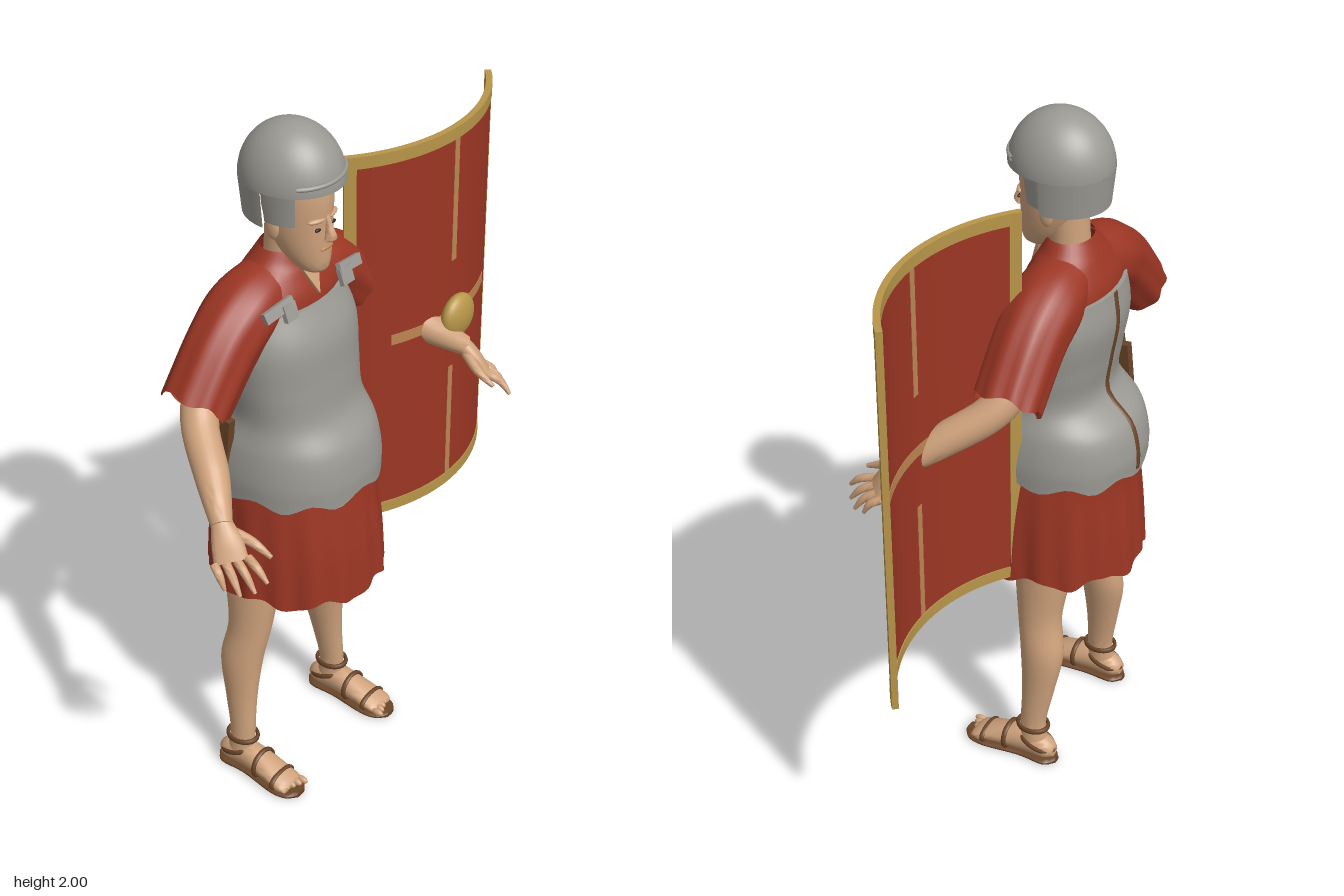
import * as THREE from 'three';
import { toCreasedNormals } from 'three/addons/utils/BufferGeometryUtils.js';

const CX = -0.133; // body centre line
const UP = [0, 1, 0];

function material(name, color, side = THREE.DoubleSide) {
  const m = new THREE.MeshStandardMaterial({ color, side });
  m.name = name;
  return m;
}

// Loft through sections [x, y, z, halfWidthA, halfWidthB].
// axis fixes the ring normal, ref orients half width B, mod returns [scale, slide along axis].
function sweep(points, { seg = 24, steps = 20, ref = [0, 0, 1], axis = null, cap = true, pow = 1, mod = null } = {}) {
  const path = new THREE.CatmullRomCurve3(points.map(p => new THREE.Vector3(p[0], p[1], p[2])), false, 'catmullrom');
  const size = new THREE.CatmullRomCurve3(points.map(p => new THREE.Vector3(p[3], p[4] ?? p[3], 0)), false, 'catmullrom');
  const refV = new THREE.Vector3(...ref), pos = [], idx = [];
  const sup = c => Math.sign(c) * Math.abs(c) ** pow;
  for (let i = 0; i <= steps; i++) {
    const u = i / steps, c = path.getPoint(u), s = size.getPoint(u);
    const t = axis ? new THREE.Vector3(...axis) : path.getTangent(u);
    const side = new THREE.Vector3().crossVectors(refV, t).normalize();
    const other = new THREE.Vector3().crossVectors(t, side);
    for (let j = 0; j < seg; j++) {
      const a = j / seg * Math.PI * 2, [k, slide] = mod ? mod(a, u) : [1, 0];
      const p = c.clone().addScaledVector(side, sup(Math.cos(a)) * s.x * k)
        .addScaledVector(other, sup(Math.sin(a)) * s.y * k).addScaledVector(t, slide);
      pos.push(p.x, p.y, p.z);
      if (i < steps) {
        const A = i * seg + j, B = i * seg + (j + 1) % seg;
        idx.push(A, B, A + seg, B, B + seg, A + seg);
      }
    }
  }
  if (cap) {
    const n = pos.length / 3, last = steps * seg;
    pos.push(...path.getPoint(0).toArray(), ...path.getPoint(1).toArray());
    for (let j = 0; j < seg; j++) {
      const k = (j + 1) % seg;
      idx.push(n, k, j, n + 1, last + j, last + k);
    }
  }
  const g = new THREE.BufferGeometry();
  g.setAttribute('position', new THREE.Float32BufferAttribute(pos, 3));
  g.setIndex(idx);
  g.computeVertexNormals();
  return cap ? toCreasedNormals(g, 1) : g;
}

export function createModel() {
  const root = new THREE.Group();
  const red = material('red cloth', 0x9c3624), steel = material('steel', 0x9b9993);
  const skin = material('skin', 0xcfa27c), gold = material('brass', 0xb8964a);
  const tan = material('tan stripe', 0xbd8552), brown = material('leather', 0x6a4528);
  const dark = material('dark eye', 0x2e2019);

  function add(name, geo, mat, p = [0, 0, 0], s = [1, 1, 1], r = [0, 0, 0]) {
    const m = new THREE.Mesh(geo, mat);
    m.name = name;
    m.position.set(...p);
    m.scale.set(...s);
    m.rotation.set(...r);
    root.add(m);
    return m;
  }
  const ball = new THREE.SphereGeometry(1, 20, 14);

  // Torso: tunic, breastplate and pleated skirt
  add('tunic', sweep([
    [CX, 1.3, -0.07, 0.17, 0.1], [CX, 1.45, -0.075, 0.19, 0.115], [CX, 1.53, -0.075, 0.19, 0.115],
    [CX, 1.59, -0.075, 0.145, 0.09], [CX, 1.62, -0.075, 0.1, 0.075], [CX, 1.655, -0.07, 0.07, 0.06]],
  { axis: UP, seg: 32, cap: false }), red);
  add('breastplate', sweep([
    [CX, 0.975, -0.05, 0.226, 0.236], [CX, 1.04, -0.05, 0.226, 0.235], [CX, 1.12, -0.047, 0.213, 0.215],
    [CX, 1.2, -0.035, 0.19, 0.155], [CX, 1.3, -0.045, 0.195, 0.15], [CX, 1.42, -0.06, 0.2, 0.153], [CX, 1.515, -0.075, 0.175, 0.128]],
  { axis: UP, seg: 64, steps: 40, pow: 0.9, mod: (a, u) => [1, 0.012 * Math.sin(a * 9) * Math.max(0, 1 - u * 6)] }), steel);
  add('skirt', sweep([
    [CX, 0.655, -0.042, 0.238, 0.247], [CX, 0.8, -0.042, 0.232, 0.238], [CX, 0.92, -0.045, 0.222, 0.225], [CX, 1.0, -0.05, 0.212, 0.22]],
  { axis: UP, seg: 128, cap: false, mod: (a, u) => {
    const k = 1 - u;
    return [1 + k * (0.022 * Math.sin(a * 17) + 0.01 * Math.sin(a * 7 + 1)), k * k * 0.013 * Math.sin(a * 8)];
  } }), red);
  add('backSeam', sweep([[0.98, -0.286], [1.04, -0.285], [1.12, -0.262], [1.2, -0.19], [1.3, -0.195], [1.42, -0.213], [1.515, -0.203]]
    .map(([y, z]) => [CX, y, z, 0.009, 0.004]), { seg: 8, axis: UP }), brown);

  // Sword scabbard on the right hip
  add('scabbard', new THREE.BoxGeometry(0.025, 0.22, 0.065), brown, [-0.348, 1.1, -0.12], undefined, [0.1, 0, 0]);
  add('swordGrip', new THREE.CylinderGeometry(0.013, 0.015, 0.1, 12), brown, [-0.355, 1.25, -0.105], undefined, [0.1, 0, 0]);

  // Neck, open collar and head
  add('neck', sweep([[CX, 1.52, -0.075, 0.07, 0.06], [CX, 1.62, -0.07, 0.056, 0.052], [CX, 1.74, -0.06, 0.054, 0.055]], { axis: UP }), skin);
  const vee = new THREE.Shape([[-0.05, 0], [0, -0.125], [0.05, 0]].map(p => new THREE.Vector2(...p)));
  add('openCollar', new THREE.ExtrudeGeometry(vee, { depth: 0.008, bevelEnabled: false }), skin, [CX, 1.65, -0.008], undefined, [-0.4, 0, 0]);
  add('head', sweep([
    [CX, 1.603, 0.025, 0.02, 0.025], [CX, 1.62, 0.018, 0.042, 0.05], [CX, 1.67, -0.005, 0.064, 0.077],
    [CX, 1.74, -0.022, 0.077, 0.095], [CX, 1.82, -0.025, 0.08, 0.1], [CX, 1.9, -0.03, 0.076, 0.092]],
  { axis: UP, seg: 32 }), skin);
  add('nose', sweep([[CX, 1.705, 0.076, 0.019, 0.013], [CX, 1.715, 0.082, 0.015, 0.017], [CX, 1.745, 0.075, 0.009, 0.012], [CX, 1.775, 0.066, 0.009, 0.009]],
    { axis: UP, seg: 14 }), skin);
  add('mouth', ball, tan, [CX, 1.68, 0.069], [0.024, 0.006, 0.006]);

  // Helmet
  add('helmetBowl', new THREE.SphereGeometry(1, 40, 20, 0, Math.PI * 2, 0, Math.PI / 2), steel, [CX, 1.85, -0.04], [0.127, 0.15, 0.143]);
  add('helmetRim', new THREE.CircleGeometry(1, 40), steel, [CX, 1.85, -0.04], [0.127, 0.143, 1], [Math.PI / 2, 0, 0]);
  add('neckGuard', new THREE.CylinderGeometry(1, 0.93, 0.1, 32, 3, true, Math.PI / 2, Math.PI), steel, [CX, 1.8, -0.04], [0.127, 1, 0.143]);
  add('browBand', new THREE.TorusGeometry(0.13, 0.006, 8, 32, 1.7), steel, [CX, 1.88, -0.035], [1, 1.07, 1], [Math.PI / 2, 0, Math.PI / 2 - 0.85]);

  // Paired parts, s = -1 for the right and +1 for the left
  for (const s of [-1, 1]) {
    const X = d => CX + s * d;
    const at = pts => pts.map(([d, ...rest]) => [X(d), ...rest]);

    // Face sides
    add('eye', ball, dark, [X(0.03), 1.74, 0.065], [0.011, 0.005, 0.005]);
    add('brow', ball, skin, [X(0.032), 1.765, 0.062], [0.026, 0.007, 0.01], [0, s * 0.35, 0]);
    add('ear', ball, skin, [X(0.08), 1.735, -0.04], [0.01, 0.034, 0.02]);
    add('cheekGuard', new THREE.CylinderGeometry(0.104, 0.092, 0.1, 10, 1, true, s > 0 ? 0.85 : -1.75, 0.9), steel, [CX, 1.8, -0.04], [1, 1, 1.05]);

    // Shoulder plate
    add('shoulderPlate', new THREE.BoxGeometry(0.1, 0.03, 0.014), steel, [X(0.145), 1.55, 0.028], undefined, [-0.4, s * 0.15, -s * 0.1]);
    add('shoulderStrap', new THREE.BoxGeometry(0.045, 0.045, 0.014), steel, [X(0.115), 1.535, 0.04], undefined, [-0.35, 0, 0]);

    // Sleeve and arm
    add('sleeve', sweep(at([[0.06, 1.55, -0.08, 0.08, 0.085], [0.15, 1.515, -0.08, 0.095, 0.1], [0.24, 1.45, -0.08, 0.095, 0.095], [0.352, 1.325, -0.08, 0.087, 0.093]]),
      { seg: 48, cap: false, mod: (a, u) => [1 + 0.035 * u * Math.sin(a * 9), 0.008 * u * Math.sin(a * 5)] }), red);
    add('arm', sweep(at([[0.18, 1.5, -0.08, 0.06], [0.29, 1.39, -0.08, 0.058], [0.37, 1.305, -0.05, 0.049], [0.45, 1.225, 0.055, 0.045], [0.522, 1.155, 0.145, 0.028]])), skin);

    // Hand
    const across = [-s * 0.065, 0.015, 0.06];
    add('palm', sweep(at([[0.518, 1.16, 0.14, 0.024, 0.027], [0.535, 1.122, 0.172, 0.02, 0.04], [0.55, 1.083, 0.197, 0.014, 0.044]]), { ref: across, seg: 16, steps: 10 }), skin);
    const tips = [[0.53, 1.05, 0.295], [0.558, 1.028, 0.278], [0.582, 1.02, 0.25], [0.596, 1.03, 0.212]];
    tips.forEach(([d, y, z], i) => {
      const k = i / 3, b = [0.52 + k * 0.06, 1.092 - k * 0.014, 0.225 - k * 0.058];
      const mid = [(b[0] + d) / 2 + 0.004, (b[1] + y) / 2 + 0.008, (b[2] + z) / 2 + 0.004];
      add('finger', sweep(at([[...b, 0.012], [...mid, 0.011], [d, y, z, 0.005]]), { ref: across, seg: 10, steps: 8 }), skin);
    });
    add('thumb', sweep(at([[0.51, 1.14, 0.16, 0.015], [0.488, 1.115, 0.215, 0.013], [0.483, 1.09, 0.27, 0.006]]), { ref: UP, seg: 10, steps: 8 }), skin);

    // Leg
    add('leg', sweep(at([
      [0.105, 0.95, -0.07, 0.09, 0.1], [0.125, 0.8, -0.075, 0.085, 0.095], [0.148, 0.64, -0.077, 0.067, 0.083], [0.165, 0.5, -0.077, 0.055, 0.065],
      [0.184, 0.38, -0.095, 0.052, 0.064], [0.197, 0.25, -0.09, 0.038, 0.049], [0.207, 0.13, -0.08, 0.031, 0.039], [0.21, 0.05, -0.085, 0.034, 0.045]]),
    { axis: UP, steps: 36 }), skin);

    // Foot with toes and sandal
    add('foot', sweep(at([
      [0.21, 0.04, -0.152, 0.018, 0.018], [0.21, 0.045, -0.125, 0.034, 0.034], [0.21, 0.052, -0.06, 0.036, 0.044],
      [0.212, 0.042, 0.02, 0.042, 0.032], [0.215, 0.028, 0.085, 0.045, 0.018], [0.215, 0.022, 0.105, 0.04, 0.011]]),
    { axis: [0, 0, 1], ref: UP }), skin);
    for (let i = 0; i < 5; i++)
      add('toe', ball, skin, [X(0.18 + i * 0.0175), 0.024, 0.113 - i * 0.008], [0.0095, 0.011, 0.02]);
    add('sole', sweep(at([[0.21, 0.008, -0.16, 0.012, 0.008], [0.21, 0.008, -0.13, 0.038, 0.008], [0.21, 0.008, -0.05, 0.037, 0.008],
      [0.213, 0.008, 0.06, 0.051, 0.008], [0.214, 0.008, 0.11, 0.043, 0.008], [0.214, 0.008, 0.135, 0.018, 0.008]]), { axis: [0, 0, 1], ref: UP, pow: 0.7 }), brown);
    const ring = new THREE.TorusGeometry(1, 0.13, 8, 28);
    add('ankleStrap', ring, brown, [X(0.208), 0.115, -0.08], [0.038, 0.046, 0.07], [Math.PI / 2, 0, 0]);
    add('instepStrap', ring, brown, [X(0.211), 0.046, -0.005], [0.044, 0.041, 0.06]);
    add('toeStrap', ring, brown, [X(0.214), 0.03, 0.065], [0.047, 0.025, 0.06]);
    add('heelStrap', ring, brown, [X(0.21), 0.06, -0.095], [0.038, 0.055, 0.06], [Math.PI / 2 - 0.35, 0, 0]);
  }

  // Curved shield: panels of a cylinder wall given by x range (from its centre) and y range
  const SX = 0.4, R = 0.49, SZ = -0.405;
  function panel(name, x0, x1, y0, y1, t, mat) {
    const a0 = Math.asin(x0 / R) - Math.PI / 2, a1 = Math.asin(x1 / R) - Math.PI / 2;
    const sh = new THREE.Shape();
    sh.absarc(0, 0, R + t, a0, a1, false);
    sh.absarc(0, 0, R - t, a1, a0, true);
    const g = new THREE.ExtrudeGeometry(sh, { depth: y1 - y0, bevelEnabled: false, curveSegments: 28 });
    add(name, toCreasedNormals(g.rotateX(-Math.PI / 2), 0.5), mat, [SX, y0, SZ]);
  }
  const W = 0.325, B = 0.025, Y0 = 0.66, Y1 = 1.81, E = 0.035;
  panel('shieldBoard', -W + 0.005, W - 0.005, Y0 + 0.01, Y1 - 0.01, 0.006, red);
  panel('shieldTopEdge', -W, W, Y1 - E, Y1, 0.009, gold);
  panel('shieldBottomEdge', -W, W, Y0, Y0 + E, 0.009, gold);
  panel('shieldInnerEdge', -W, -W + B, Y0, Y1, 0.009, gold);
  panel('shieldOuterEdge', W - B, W, Y0, Y1, 0.009, gold);
  panel('upperStripe', -0.01, 0.01, 1.405, Y1 - E, 0.0075, tan);
  panel('lowerStripe', -0.01, 0.01, Y0 + E, 1.06, 0.0075, tan);
  panel('crossStripe', -0.213, 0.213, 1.218, 1.25, 0.0075, tan);
  add('shieldBoss', new THREE.SphereGeometry(1, 32, 20), gold, [SX, 1.235, 0.11], [0.066, 0.066, 0.032]);

  return root;
}
